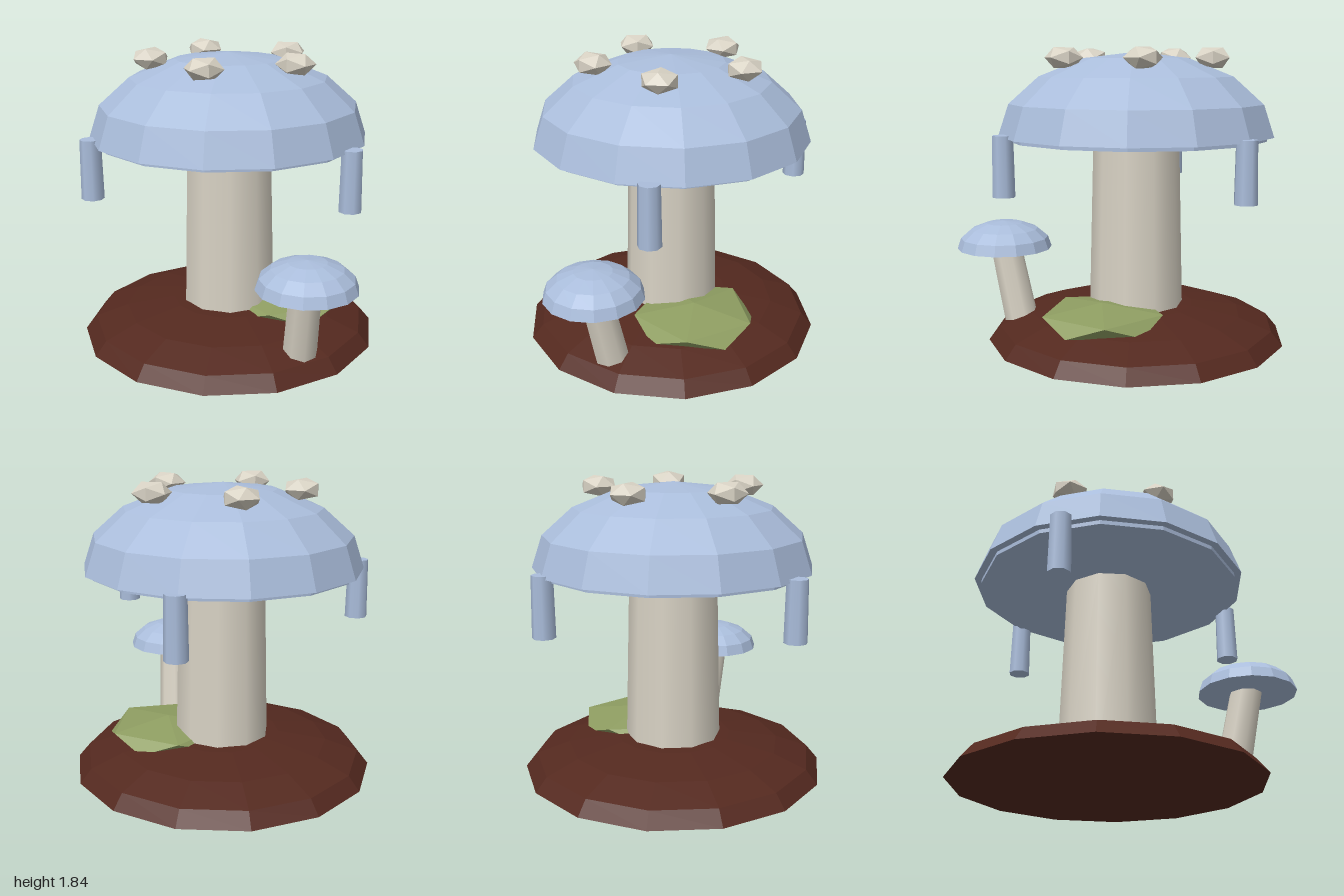
import * as THREE from 'three';

const material = (name, color) => {
  const m = new THREE.MeshStandardMaterial({ color });
  m.name = name;
  return m;
};

// Faceted normals for the low-poly parts
function facet(geometry) {
  const g = geometry.index ? geometry.toNonIndexed() : geometry;
  g.computeVertexNormals();
  return g;
}

// Closed, squashed half sphere standing on y = 0
function dome(radius, height, sides = 14, rings = 4) {
  const profile = [new THREE.Vector2(0, 0)];
  for (let i = 0; i <= rings; i++) {
    const a = (i / rings) * Math.PI / 2;
    profile.push(new THREE.Vector2(i === rings ? 0 : radius * Math.cos(a), height * Math.sin(a)));
  }
  return facet(new THREE.LatheGeometry(profile, sides));
}

export function createModel() {
  const model = new THREE.Group();
  model.name = 'mushrooms';
  const blue = material('capBlue', 0xaabddb);
  const cream = material('stemCream', 0xd8d2c4);
  const brown = material('soilBrown', 0x54291f);
  const green = material('mossGreen', 0x8f9e62);
  const cx = -0.075; // axis of the large mushroom

  function add(name, geometry, mat, x, y, z) {
    const mesh = new THREE.Mesh(geometry, mat);
    mesh.name = name;
    mesh.position.set(x, y, z);
    model.add(mesh);
    return mesh;
  }

  // Ground mound and flat mossy stone
  add('soilMound', dome(0.95, 0.228), brown, cx, 0, 0);
  const stone = new THREE.IcosahedronGeometry(0.43, 0);
  stone.rotateZ(-Math.atan(2 / (1 + Math.sqrt(5)))); // one corner straight up
  stone.scale(1, 0.21, 1);
  add('mossStone', facet(stone), green, 0.23, 0.195, -0.19);

  // Large mushroom
  add('largeStem', new THREE.CylinderGeometry(0.272, 0.305, 1.29, 10), cream, cx, 0.648, 0);
  add('largeCap', dome(0.865, 0.515), blue, cx, 1.3, 0);
  add('capUnderside', facet(new THREE.CylinderGeometry(0.82, 0.82, 0.04, 14)), blue, cx, 1.295, 0);

  // Five flattened warts in a ring on the cap
  for (let i = 0; i < 5; i++) {
    const a = (i / 5) * Math.PI * 2;
    const wart = new THREE.IcosahedronGeometry(0.12, 0);
    wart.scale(1, 0.6, 1);
    wart.rotateY(i * 0.9);
    add('wart' + (i + 1), facet(wart), cream, cx + 0.475 * Math.cos(a), 1.778, 0.475 * Math.sin(a));
  }

  // Drips hanging from the cap rim
  [[0.785, 0], [-0.635, 0.655], [-0.43, -0.775]].forEach(([x, z], i) => {
    add('drip' + (i + 1), new THREE.CylinderGeometry(0.064, 0.07, 0.37, 8), blue, x, 1.135, z);
  });

  // Small leaning mushroom
  const foot = new THREE.Vector3(0.625, 0.115, 0.268);
  const head = new THREE.Vector3(0.7, 0.59, 0.345);
  const axis = head.clone().sub(foot);
  const mid = foot.clone().add(head).multiplyScalar(0.5);
  const stem = add('smallStem', new THREE.CylinderGeometry(0.098, 0.107, axis.length(), 8),
    cream, mid.x, mid.y, mid.z);
  stem.quaternion.setFromUnitVectors(new THREE.Vector3(0, 1, 0), axis.normalize());
  add('smallCap', dome(0.302, 0.175), blue, 0.705, 0.565, 0.345);

  return model;
}
